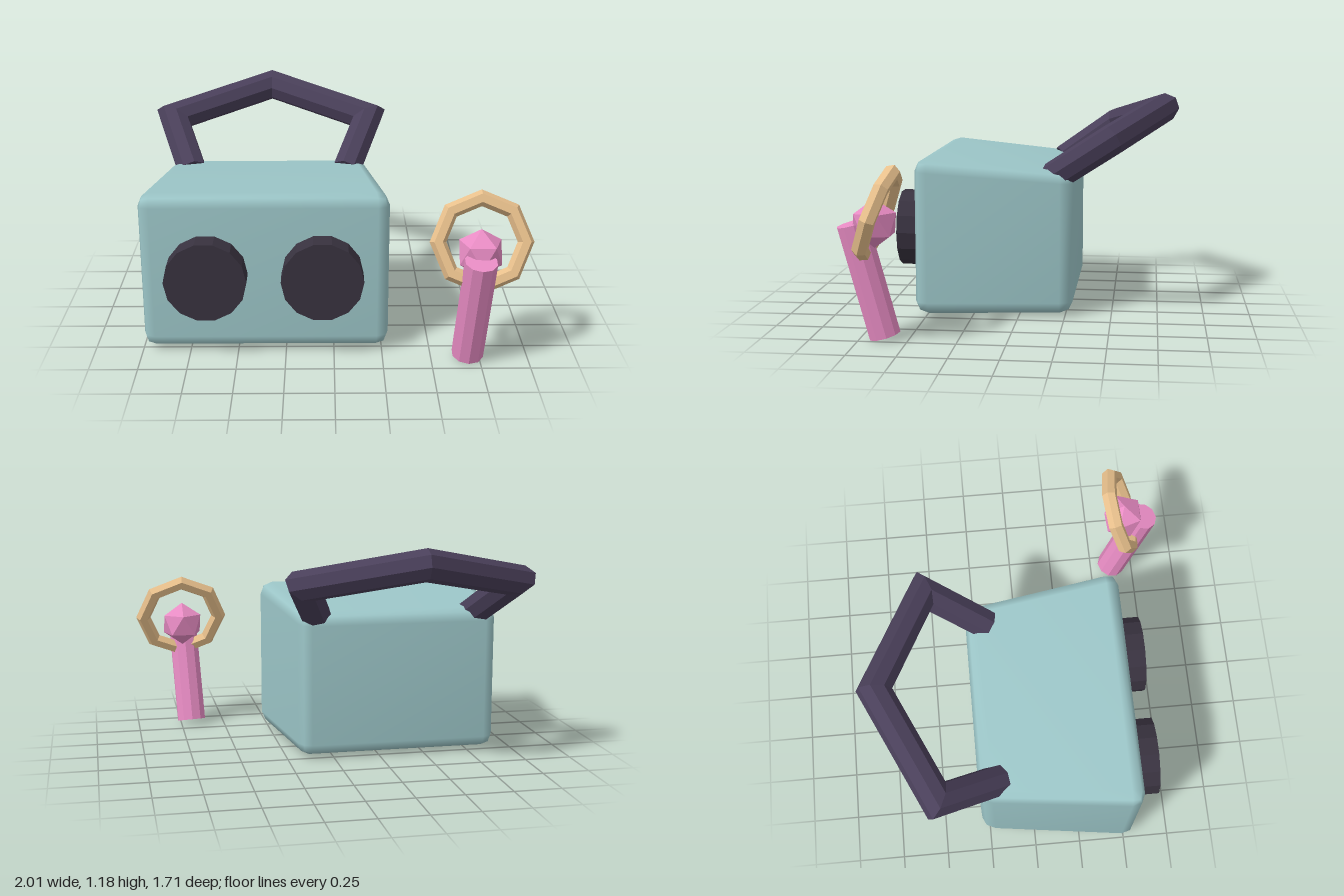
import * as THREE from 'three';
import { mergeVertices } from 'three/addons/utils/BufferGeometryUtils.js';
import { RoundedBoxGeometry } from 'three/addons/geometries/RoundedBoxGeometry.js';

const mat = (color, flatShading = true) => new THREE.MeshStandardMaterial({ color, flatShading });
const V = (x, y, z) => new THREE.Vector3(x, y, z);

function addMesh(parent, name, geometry, material) {
  const mesh = new THREE.Mesh(geometry, material);
  mesh.name = name;
  parent.add(mesh);
  return mesh;
}

// Capped prism swept along straight segments, mitred at each joint
function mitredTube(points, radius, sides) {
  const dirs = points.slice(1).map((p, i) => p.clone().sub(points[i]).normalize());
  const side = V(0, 1, 0).cross(dirs[0]).normalize();
  const up = dirs[0].clone().cross(side);
  let ring = [];
  for (let k = 0; k < sides; k++) {
    const a = (k / sides) * Math.PI * 2;
    ring.push(points[0].clone().addScaledVector(side, radius * Math.cos(a)).addScaledVector(up, radius * Math.sin(a)));
  }
  const pos = [], index = [];
  const last = points.length - 1;
  points.forEach((p, i) => {
    if (i > 0) {
      const d = dirs[i - 1];
      const normal = i < last ? d.clone().add(dirs[i]).normalize() : d;
      ring = ring.map((v) => v.clone().addScaledVector(d, p.clone().sub(v).dot(normal) / d.dot(normal)));
    }
    ring.forEach((v) => pos.push(v.x, v.y, v.z));
  });
  for (let i = 0; i < last; i++) {
    for (let k = 0; k < sides; k++) {
      const a = i * sides + k, b = i * sides + ((k + 1) % sides);
      index.push(a, b, b + sides, a, b + sides, a + sides);
    }
  }
  const end = last * sides;
  for (let k = 1; k < sides - 1; k++) {
    index.push(0, k + 1, k, end, end + k, end + k + 1);
  }
  const geo = new THREE.BufferGeometry();
  geo.setAttribute('position', new THREE.Float32BufferAttribute(pos, 3));
  geo.setIndex(index);
  geo.computeVertexNormals();
  return geo;
}

// Bevelled box, narrower and lower towards the back
function bodyGeometry() {
  const depth = 0.845;
  let geo = new RoundedBoxGeometry(1.296, 0.85, depth, 1, 0.07);
  geo.deleteAttribute('uv');
  geo.deleteAttribute('normal');
  geo.translate(0, 0.425, 0);
  const p = geo.attributes.position;
  for (let i = 0; i < p.count; i++) {
    const back = 0.5 - p.getZ(i) / depth;
    p.setX(i, p.getX(i) * (1 - 0.175 * back));
    p.setY(i, p.getY(i) * (1 - 0.09 * back));
  }
  geo = mergeVertices(geo, 1e-4);
  geo.computeVertexNormals();
  return geo;
}

export function createModel() {
  const model = new THREE.Group();
  model.name = 'model';
  const pink = mat(0xe88cc4);

  // Box with its handle and two round knobs, off to the right side
  const box = new THREE.Group();
  box.name = 'box';
  box.position.x = -0.355;
  model.add(box);

  addMesh(box, 'body', bodyGeometry(), mat(0x9cc6c8, false)).position.set(0, 0.018, 0.132);

  const handlePath = [
    V(-0.43, 0.755, -0.175), V(-0.56, 0.975, -0.495), V(0, 1.1, -0.765),
    V(0.56, 0.975, -0.495), V(0.43, 0.755, -0.175),
  ];
  addMesh(box, 'handle', mitredTube(handlePath, 0.083, 8), mat(0x493f59));

  const knobGeo = new THREE.CylinderGeometry(0.21, 0.21, 0.18, 14, 1, false, Math.PI / 2);
  knobGeo.rotateX(Math.PI / 2);
  const knobMat = mat(0x38323f);
  for (const [name, s] of [['rightKnob', -1], ['leftKnob', 1]]) {
    addMesh(box, name, knobGeo, knobMat).position.set(s * 0.296, 0.445, 0.585);
  }

  // Wand with a gem inside a tilted ring
  const wand = new THREE.Group();
  wand.name = 'wand';
  model.add(wand);

  const foot = V(0.69, 0.022, 0.623), tip = V(0.72, 0.598, 0.77);
  const axis = tip.clone().sub(foot);
  const shaft = addMesh(wand, 'wandShaft', new THREE.CylinderGeometry(0.083, 0.083, axis.length(), 10), pink);
  shaft.position.copy(foot).add(tip).multiplyScalar(0.5);
  shaft.quaternion.setFromUnitVectors(V(0, 1, 0), axis.normalize());

  const gemGeo = new THREE.IcosahedronGeometry(0.124);
  gemGeo.rotateZ(Math.atan(2 / (1 + Math.sqrt(5)))); // stand on a vertex
  gemGeo.rotateY(-Math.PI / 2);
  addMesh(wand, 'gem', gemGeo, pink).position.set(0.73, 0.602, 0.657);

  const ring = addMesh(wand, 'ring', new THREE.TorusGeometry(0.22, 0.042, 6, 8), mat(0xe8c08c));
  ring.position.set(0.737, 0.65, 0.638);
  ring.rotation.x = -0.35;

  return model;
}
